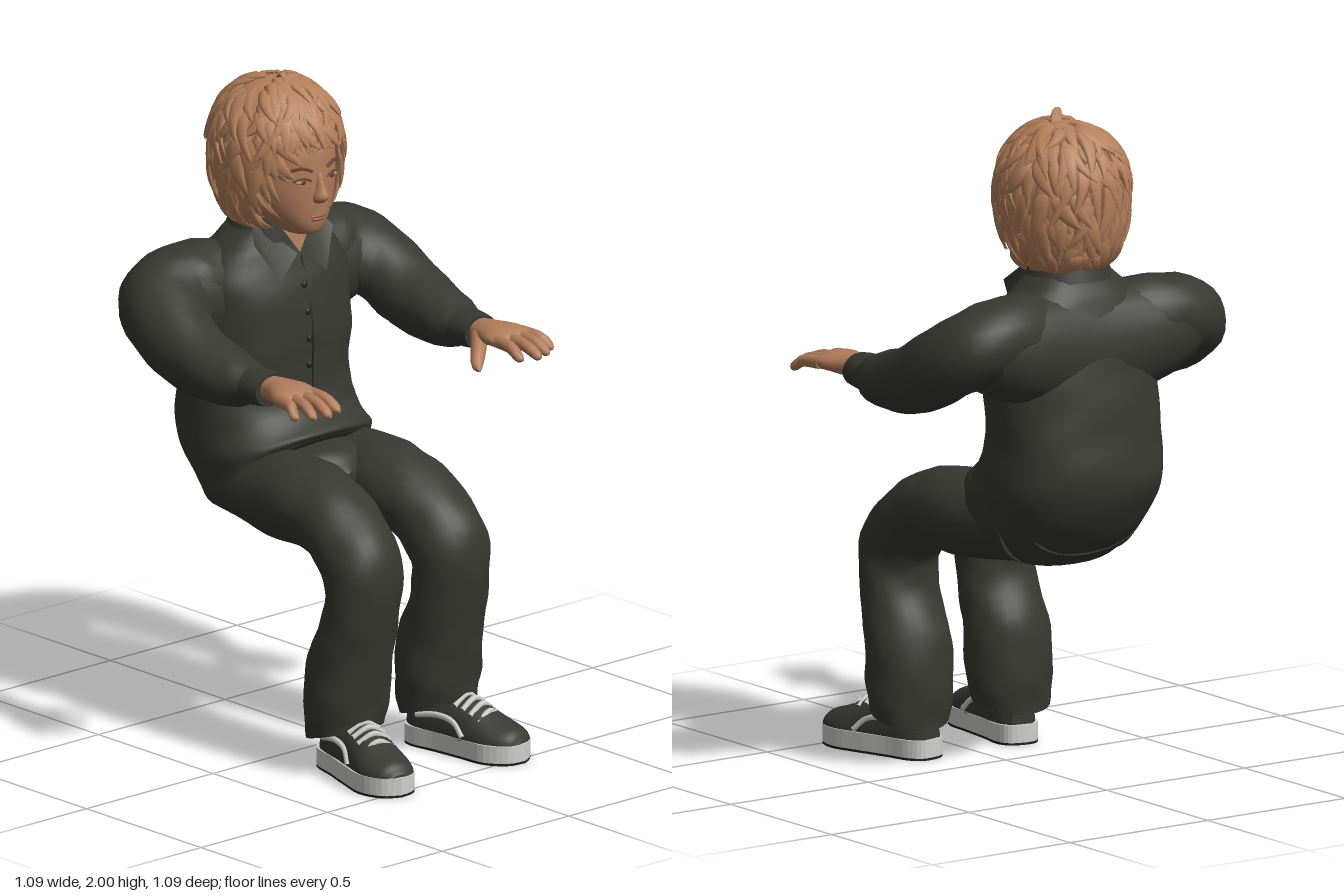
import * as THREE from 'three';
import { mergeGeometries } from 'three/addons/utils/BufferGeometryUtils.js';

const H = Math.PI / 2;
const V = (x, y, z) => new THREE.Vector3(x, y, z);
const mat = (name, color, side = THREE.FrontSide) => {
  const m = new THREE.MeshStandardMaterial({ color, side });
  m.name = name;
  return m;
};

// Surface through closed rings of points, with optional flat end caps
function skin(rows, caps = true) {
  const pos = [], idx = [], n = rows[0].length;
  rows.forEach(r => r.forEach(p => pos.push(p.x, p.y, p.z)));
  for (let i = 0; i < rows.length - 1; i++) for (let j = 0; j < n; j++) {
    const a = i * n + j, b = i * n + (j + 1) % n;
    idx.push(a, b, a + n, b, b + n, a + n);
  }
  if (caps) [rows[0], rows[rows.length - 1]].forEach((r, end) => {
    const base = pos.length / 3, c = V(0, 0, 0);
    r.forEach(p => { pos.push(p.x, p.y, p.z); c.addScaledVector(p, 1 / n); });
    pos.push(c.x, c.y, c.z);
    for (let j = 0; j < n; j++) {
      const a = base + j, b = base + (j + 1) % n;
      end ? idx.push(a, b, base + n) : idx.push(b, a, base + n);
    }
  });
  const g = new THREE.BufferGeometry();
  g.setAttribute('position', new THREE.Float32BufferAttribute(pos, 3));
  g.setIndex(idx);
  g.computeVertexNormals();
  return g;
}

// Smooth loft; section = [x, y, z, width, depth, tilt, yaw]; box below 1 squares the rings
function loft(sections, { n = 24, steps = 5, fold = 0, box = 1 } = {}) {
  const curve = k => new THREE.CatmullRomCurve3(
    sections.map(s => V(s[k] || 0, s[k + 1] || 0, s[k + 2] || 0)), false, 'catmullrom', 0.5);
  const [centre, size, turn] = [curve(0), curve(3), curve(6)];
  const square = v => Math.sign(v) * Math.abs(v) ** box;
  const rows = [], m = (sections.length - 1) * steps;
  for (let i = 0; i <= m; i++) {
    const c = centre.getPoint(i / m), s = size.getPoint(i / m), w = turn.getPoint(i / m).x;
    rows.push(Array.from({ length: n }, (_, j) => {
      const a = j / n * 2 * Math.PI;
      const f = 1 + fold * (Math.sin(3 * a + i * 0.9) + Math.sin(5 * a - i * 1.3));
      const p = square(Math.cos(a)) * s.x * f, q = square(Math.sin(a)) * s.y * f;
      return V(c.x + p * Math.cos(w), c.y + q * Math.sin(s.z), c.z - p * Math.sin(w) + q * Math.cos(s.z));
    }));
  }
  return skin(rows);
}

function flip(g) {
  const f = g.clone().applyMatrix4(new THREE.Matrix4().makeScale(-1, 1, 1));
  const ix = f.index ? Array.from(f.index.array) : Array.from({ length: f.attributes.position.count }, (_, i) => i);
  for (let i = 0; i < ix.length; i += 3) [ix[i], ix[i + 1]] = [ix[i + 1], ix[i]];
  f.setIndex(ix);
  return f;
}

const ball = (x, y, z, a, b, c) => new THREE.SphereGeometry(1, 20, 14).scale(a, b, c).translate(x, y, z);
const tube = (pts, r) => new THREE.TubeGeometry(new THREE.CatmullRomCurve3(pts.map(p => V(...p))), 14, r, 6);
function panel(pts) {
  const g = new THREE.BufferGeometry().setFromPoints(pts.map(p => V(...p)));
  g.setIndex(pts.length === 3 ? [0, 1, 2] : [0, 1, 2, 0, 2, 3]);
  g.computeVertexNormals();
  return g;
}

// Hair surface in angles around and down from the crown
const hairEdge = az => 1.27 + 1.3 * THREE.MathUtils.smoothstep(Math.abs(az), 0.65, 1.3);
function hairPoint(az, pol, f = 1) {
  const h = pol < H ? Math.sin(pol) : 1 - 0.25 * (pol - H) ** 2, c = Math.cos(pol);
  return V(-Math.sin(az) * h * 0.185 * f, 1.775 + c * (c > 0 ? 0.195 * f : 0.25),
    -0.28 + Math.cos(az) * h * 0.19 * f);
}
// Pointed, overlapping locks that flick outward at the tip
function hairLocks(count) {
  let seed = 7;
  const rnd = () => (seed = (seed * 16807) % 2147483647) / 2147483647;
  const locks = [];
  for (let k = 0; k < count; k++) {
    const az = (rnd() * 2 - 1) * Math.PI, edge = hairEdge(az);
    const p0 = 0.03 + (edge - 0.2) * rnd() ** 0.6, swirl = (rnd() - 0.5) * 0.9;
    const len = Math.min(0.5 + rnd() * 0.4, edge + 0.25 - p0), lift = 0.06 + rnd() * 0.08, wide = 0.024 + rnd() * 0.016;
    const at = t => hairPoint(az + swirl * t * t, p0 + len * t, 0.985 + lift * t ** 0.7);
    const rows = [];
    for (let i = 0; i <= 6; i++) {
      const t = 0.05 + 0.95 * i / 6, c = at(t);
      const dir = at(t + 0.04).sub(at(t - 0.04)).normalize();
      const out = V(c.x, (c.y - 1.775) * 0.8, c.z + 0.28);
      out.addScaledVector(dir, -out.dot(dir)).normalize();
      const across = out.clone().cross(dir), w = wide * Math.min(1, 0.4 + 2.5 * t) * (1 - i / 6) ** 0.7 + 0.0005;
      rows.push(Array.from({ length: 6 }, (_, j) => c.clone()
        .addScaledVector(across, w * Math.cos(j * Math.PI / 3))
        .addScaledVector(out, w * 0.4 * Math.sin(j * Math.PI / 3))));
    }
    locks.push(skin(rows, false));
  }
  return mergeGeometries(locks);
}

export function createModel() {
  const model = new THREE.Group();
  const cloth = mat('dark cloth', 0x373831, THREE.DoubleSide), seam = mat('seam', 0x272822);
  const flesh = mat('skin', 0xaf7b5a, THREE.DoubleSide), hair = mat('hair', 0xb5805b, THREE.DoubleSide);
  const brown = mat('brow', 0x6b4630), lip = mat('lip', 0x9c5f4c), eyeWhite = mat('eye white', 0xa8907e);
  const canvas = mat('shoe canvas', 0x393934), white = mat('shoe white', 0xcfcfcb), tread = mat('tread', 0x1e1e1c);
  const add = (name, g, m) => {
    const mesh = new THREE.Mesh(g, m);
    mesh.name = name;
    model.add(mesh);
  };
  const pair = (name, g, m) => { add(name + 'Left', g, m); add(name + 'Right', flip(g), m); };

  // Shirt body, shoulders, collar, placket and buttons
  add('shirtBody', loft([
    [0, 1.55, -0.31, 0.1, 0.09, 0], [0, 1.5, -0.315, 0.16, 0.11, 0], [0, 1.44, -0.32, 0.235, 0.135, 0],
    [0, 1.35, -0.315, 0.27, 0.165, 0], [0, 1.2, -0.32, 0.272, 0.19, 0], [0, 1.05, -0.333, 0.27, 0.2, 0],
    [0, 0.935, -0.32, 0.28, 0.222, 0.16], [0, 0.84, -0.25, 0.282, 0.222, 0.44], [0, 0.78, -0.2, 0.268, 0.19, 0.75]
  ], { n: 40, fold: 0.006, box: 0.86 }), cloth);
  add('shirtShoulders', loft([
    [-0.36, 1.34, -0.36, 0.125, 0.125, H, H], [-0.25, 1.325, -0.365, 0.135, 0.155, H, H], [0, 1.3, -0.355, 0.137, 0.19, H, H],
    [0.25, 1.325, -0.365, 0.135, 0.155, H, H], [0.36, 1.34, -0.36, 0.125, 0.125, H, H]
  ]), cloth);
  pair('collarFlap', panel([[0.115, 1.56, -0.26], [0.012, 1.455, -0.17], [0.09, 1.385, -0.155], [0.155, 1.5, -0.2]]), cloth);
  add('collarBand', loft([[0, 1.565, -0.305, 0.115, 0.105, -0.15], [0, 1.5, -0.31, 0.14, 0.12, -0.1]]), cloth);
  add('openNeck', panel([[-0.075, 1.56, -0.19], [0, 1.455, -0.172], [0.075, 1.56, -0.19]]), flesh);
  add('placket', tube([[0.014, 1.44, -0.183], [0.014, 1.3, -0.143], [0.014, 1.2, -0.13], [0.014, 1.05, -0.132], [0.014, 0.96, -0.107]], 0.003), seam);
  for (const [y, z] of [[1.36, -0.153], [1.28, -0.138], [1.2, -0.13], [1.12, -0.13], [1.03, -0.13]])
    add('button', ball(0, y, z, 0.011, 0.011, 0.006), seam);

  // Sleeves and cuffs
  pair('sleeve', loft([
    [0.1, 1.38, -0.345, 0.1, 0.1, H, H], [0.25, 1.372, -0.37, 0.13, 0.122, H, 1.35],
    [0.372, 1.345, -0.345, 0.142, 0.13, H, 0.85], [0.425, 1.285, -0.25, 0.122, 0.13, H, 0.3],
    [0.432, 1.225, -0.12, 0.106, 0.106, H, 0], [0.425, 1.2, 0.02, 0.092, 0.08, H, 0], [0.417, 1.2, 0.09, 0.066, 0.055, H, 0]
  ], { fold: 0.014 }), cloth);
  pair('cuff', loft([[0.417, 1.2, 0.07, 0.068, 0.056, H], [0.415, 1.2, 0.12, 0.068, 0.055, H], [0.413, 1.2, 0.16, 0.063, 0.05, H]]), cloth);

  // Hands
  pair('palm', loft([
    [0.413, 1.205, 0.13, 0.04, 0.034, H], [0.414, 1.208, 0.19, 0.052, 0.036, H],
    [0.42, 1.212, 0.25, 0.075, 0.032, H], [0.425, 1.208, 0.295, 0.074, 0.024, H], [0.425, 1.203, 0.315, 0.05, 0.012, H]
  ]), flesh);
  for (const [x0, x1, z1] of [[0.37, 0.362, 0.4], [0.408, 0.414, 0.42], [0.446, 0.46, 0.405], [0.48, 0.502, 0.375]])
    pair('finger', loft([
      [x0, 1.21, 0.26, 0.02, 0.02, H], [(x0 + x1) / 2, 1.206, (0.28 + z1) / 2, 0.019, 0.019, H],
      [x1, 1.187, z1 - 0.018, 0.017, 0.016, H], [x1, 1.181, z1, 0.005, 0.005, H]
    ], { n: 10 }), flesh);
  pair('thumb', loft([
    [0.38, 1.2, 0.19, 0.026, 0.028, H, -0.7], [0.335, 1.173, 0.235, 0.023, 0.025, H, -0.7],
    [0.305, 1.147, 0.265, 0.018, 0.018, H, -0.5], [0.297, 1.134, 0.283, 0.004, 0.004, H, -0.5]
  ], { n: 10 }), flesh);

  // Trousers
  add('trouserSeat', loft([
    [0, 0.78, -0.4, 0.2, 0.09, H], [0, 0.775, -0.25, 0.265, 0.125, H], [0, 0.772, -0.06, 0.24, 0.126, H],
    [0, 0.775, 0.01, 0.13, 0.105, H], [0, 0.78, 0.05, 0.03, 0.05, H]
  ], { n: 32 }), cloth);
  pair('trouserLeg', loft([
    [0.13, 0.775, -0.32, 0.13, 0.105, H], [0.15, 0.77, -0.04, 0.144, 0.13, 1.5], [0.155, 0.76, 0.11, 0.138, 0.12, 1.48],
    [0.165, 0.71, 0.215, 0.13, 0.11, 0.95], [0.17, 0.62, 0.29, 0.126, 0.113, 0.56], [0.175, 0.495, 0.288, 0.125, 0.1, 0.05],
    [0.178, 0.36, 0.245, 0.132, 0.117, 0], [0.18, 0.22, 0.23, 0.137, 0.115, 0.1], [0.182, 0.12, 0.228, 0.122, 0.108, 0.27]
  ], { n: 28, fold: 0.013 }), cloth);

  // Shoes, turned slightly outward
  const place = g => g.rotateY(0.2).translate(0.203, 0, 0.335);
  const outline = new THREE.Shape(new THREE.SplineCurve([
    [0, 0.21], [0.055, 0.187], [0.09, 0.12], [0.085, 0.03], [0.072, -0.08], [0.066, -0.16], [0.035, -0.203],
    [-0.035, -0.203], [-0.066, -0.16], [-0.07, -0.08], [-0.08, 0.03], [-0.088, 0.12], [-0.055, 0.187], [0, 0.21]
  ].map(p => new THREE.Vector2(p[0], -p[1]))).getPoints(52));
  const slab = (y, depth) => place(new THREE.ExtrudeGeometry(outline, { depth, bevelEnabled: false }).rotateX(-H).translate(0, y, 0));
  pair('sole', slab(0.007, 0.053), white);
  pair('tread', slab(0, 0.007), tread);
  const upper = loft([
    [0, 0.055, -0.197, 0.035, 0.07, H], [0, 0.055, -0.15, 0.062, 0.11, H], [0, 0.055, -0.04, 0.072, 0.12, H],
    [0, 0.055, 0.04, 0.081, 0.1, H], [0.002, 0.055, 0.12, 0.085, 0.062, H], [0.001, 0.055, 0.18, 0.06, 0.042, H],
    [0, 0.055, 0.202, 0.025, 0.012, H]
  ]);
  const up = upper.attributes.position;
  for (let i = 0; i < up.count; i++) up.setY(i, Math.max(up.getY(i), 0.045));
  upper.computeVertexNormals();
  pair('shoeUpper', place(upper), canvas);
  for (const [z, y] of [[-0.01, 0.17], [0.018, 0.163], [0.046, 0.151], [0.074, 0.134]])
    pair('lace', place(tube([[-0.052, y - 0.024, z], [0, y + 0.002, z + 0.006], [0.052, y - 0.024, z]], 0.009)), white);
  for (const s of [1, -1])
    pair('sideStripe', place(tube([[s * 0.064, 0.1, -0.14], [s * 0.065, 0.113, -0.06], [s * 0.07, 0.102, 0], [s * 0.082, 0.066, 0.04]], 0.009)), white);

  // Head and neck
  add('neck', new THREE.CylinderGeometry(0.078, 0.088, 0.2, 24).translate(0, 1.52, -0.29), flesh);
  add('head', loft([
    [0, 1.93, -0.27, 0.08, 0.08, 0], [0, 1.86, -0.265, 0.135, 0.135, 0], [0, 1.79, -0.255, 0.15, 0.16, 0],
    [0, 1.73, -0.25, 0.15, 0.163, 0], [0, 1.67, -0.245, 0.145, 0.16, 0], [0, 1.61, -0.225, 0.123, 0.138, 0],
    [0, 1.56, -0.195, 0.085, 0.103, 0], [0, 1.53, -0.175, 0.05, 0.067, 0], [0, 1.52, -0.175, 0.02, 0.03, 0]
  ], { n: 36 }), flesh);
  add('nose', loft([
    [0, 1.72, -0.1, 0.012, 0.018, 0], [0, 1.68, -0.092, 0.016, 0.025, 0], [0, 1.65, -0.088, 0.025, 0.032, 0],
    [0, 1.632, -0.092, 0.022, 0.022, 0], [0, 1.627, -0.095, 0.006, 0.008, 0]
  ], { n: 14 }), flesh);
  pair('eye', ball(0.057, 1.7, -0.101, 0.024, 0.008, 0.008), eyeWhite);
  pair('iris', ball(0.056, 1.7, -0.095, 0.01, 0.008, 0.004), brown);
  pair('upperLid', tube([[0.03, 1.7, -0.09], [0.055, 1.711, -0.093], [0.086, 1.702, -0.11]], 0.0035), brown);
  pair('brow', tube([[0.028, 1.73, -0.089], [0.06, 1.742, -0.096], [0.096, 1.733, -0.123]], 0.005), brown);
  add('upperLip', ball(0, 1.588, -0.091, 0.034, 0.006, 0.009), lip);
  add('lowerLip', ball(0, 1.578, -0.093, 0.027, 0.007, 0.01), lip);
  pair('ear', ball(0.152, 1.68, -0.27, 0.016, 0.04, 0.026), flesh);

  // Hair cap, layered locks and crown tuft
  const rings = [];
  for (let i = 0; i <= 20; i++) rings.push(Array.from({ length: 48 }, (_, j) => {
    const az = (j / 24 - 1) * Math.PI;
    return hairPoint(az, Math.max(0.001, hairEdge(az) * i / 20));
  }));
  add('hairCap', skin(rings, false), hair);
  add('hairLocks', hairLocks(420), hair);
  add('crownTuft', loft([
    [0.02, 1.96, -0.28, 0.025, 0.012, H], [0, 1.985, -0.25, 0.02, 0.008, H],
    [-0.02, 1.994, -0.225, 0.013, 0.005, H], [-0.035, 1.985, -0.2, 0.002, 0.002, H]
  ], { n: 8 }), hair);
  return model;
}
